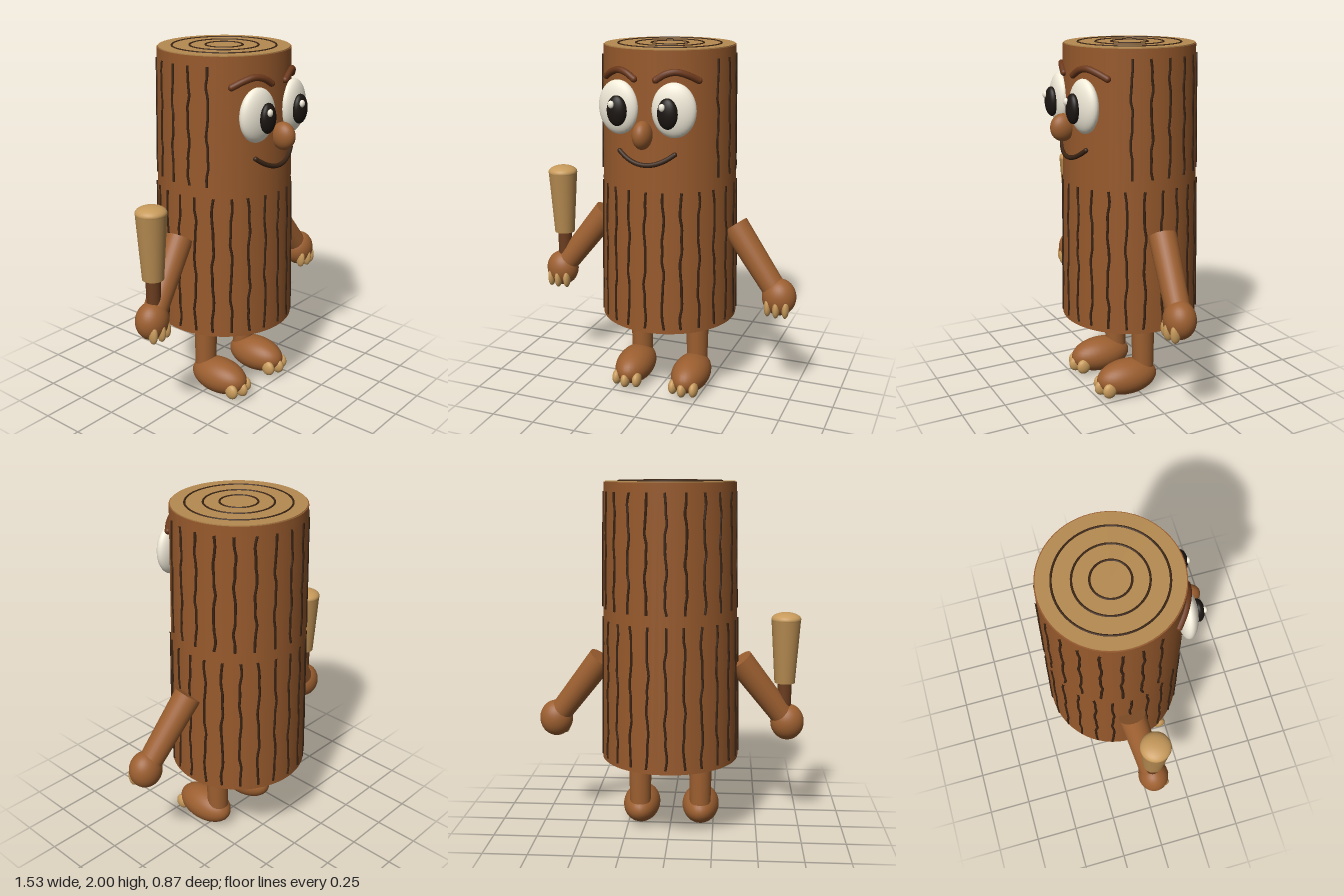
import * as THREE from 'three';

const mat = (color) => new THREE.MeshStandardMaterial({ color });
const BARK = mat(0x96592c), LIMB = mat(0x9c5f30), GROOVE = mat(0x3a2414), DARK = mat(0x6b3d1f);
const WOOD = mat(0xb58a50), CLAW = mat(0xc79a5b), WHITE = mat(0xf0ead8), BLACK = mat(0x1c1612), BROW = mat(0x6b381b);
const AXIS_Z = -0.04, Y0 = 0.45, Y1 = 1.99, R0 = 0.387, R1 = 0.36;

const trunkRadius = (y) => R0 + (R1 - R0) * (y - Y0) / (Y1 - Y0);
// point on the bark, angle measured from the front
const onTrunk = (angle, y, lift = 0) => {
  const r = trunkRadius(y) + lift;
  return new THREE.Vector3(Math.sin(angle) * r, y, AXIS_Z + Math.cos(angle) * r);
};

function add(parent, name, geometry, material, x = 0, y = 0, z = 0) {
  const mesh = new THREE.Mesh(geometry, material);
  mesh.name = name;
  mesh.position.set(x, y, z);
  parent.add(mesh);
  return mesh;
}

function ellipsoid(parent, name, material, x, y, z, rx, ry, rz) {
  const mesh = add(parent, name, new THREE.SphereGeometry(1, 32, 20), material, x, y, z);
  mesh.scale.set(rx, ry, rz);
  return mesh;
}

// tapered cylinder between two points
function limb(parent, name, material, a, b, ra, rb) {
  const dir = b.clone().sub(a);
  const mesh = add(parent, name, new THREE.CylinderGeometry(rb, ra, dir.length(), 28), material);
  mesh.position.copy(a).add(b).multiplyScalar(0.5);
  mesh.quaternion.setFromUnitVectors(new THREE.Vector3(0, 1, 0), dir.normalize());
  return mesh;
}

// bent rod with rounded ends
function rod(parent, name, material, points, r) {
  const group = new THREE.Group();
  group.name = name;
  const curve = new THREE.CatmullRomCurve3(points);
  add(group, name + 'Rod', new THREE.TubeGeometry(curve, 28, r, 12), material);
  for (const p of [points[0], points[points.length - 1]])
    ellipsoid(group, name + 'End', material, p.x, p.y, p.z, r, r, r);
  parent.add(group);
}

function makeTrunk() {
  const trunk = new THREE.Group();
  trunk.name = 'trunk';
  add(trunk, 'bark', new THREE.CylinderGeometry(R1, R0, Y1 - Y0, 64), BARK, 0, (Y0 + Y1) / 2, AXIS_Z);
  add(trunk, 'cutTop', new THREE.CylinderGeometry(0.354, 0.354, 0.02, 64), WOOD, 0, 1.985, AXIS_Z);
  // growth rings
  for (const r of [0.1, 0.185, 0.28])
    add(trunk, 'growthRing', new THREE.TorusGeometry(r, 0.006, 8, 64), GROOVE, 0, 1.994, AXIS_Z).rotation.x = Math.PI / 2;

  // wavering bark grooves
  const groove = (angle, low, high, seed) => {
    const points = [];
    for (let i = 0; i <= 12; i++) {
      const wobble = 0.013 * Math.sin(i * 1.25 + seed * 2.1) + 0.008 * Math.sin(i * 2.7 + seed);
      points.push(onTrunk(angle + wobble, low + (high - low) * i / 12));
    }
    add(trunk, 'groove', new THREE.TubeGeometry(new THREE.CatmullRomCurve3(points), 30, 0.0075, 6), GROOVE);
  };
  for (let i = 0; i < 24; i++) groove(i * Math.PI / 12, 0.475, 1.25, i);
  // the upper row leaves the face clear
  for (let i = -7; i <= 7; i++) groove(Math.PI + i * 0.289, 1.31, 1.94, i + 40);
  return trunk;
}

function makeFace() {
  const face = new THREE.Group();
  face.name = 'face';
  for (const s of [-1, 1]) {
    ellipsoid(face, 'eye', WHITE, s * 0.155, 1.69, 0.308, 0.118, 0.143, 0.052).rotation.y = s * 0.15;
    ellipsoid(face, 'pupil', BLACK, s * 0.14, 1.68, 0.365, 0.055, 0.08, 0.033);
    ellipsoid(face, 'glint', WHITE, s * 0.14 - 0.02, 1.715, 0.393, 0.017, 0.02, 0.013);
    const brow = [[0.06, 1.842], [0.11, 1.872], [0.16, 1.882], [0.21, 1.867], [0.26, 1.837]]
      .map(([x, y]) => onTrunk(s * Math.asin(x / 0.37), y, 0.006));
    rod(face, 'eyebrow', BROW, brow, 0.018);
  }
  ellipsoid(face, 'nose', LIMB, 0, 1.56, 0.362, 0.051, 0.075, 0.07);
  const smile = [];
  for (let i = -4; i <= 4; i++) {
    const x = i * 0.0385;
    smile.push(onTrunk(Math.asin(x / 0.37), 1.395 + 2.6 * x * x, 0.004));
  }
  rod(face, 'mouth', GROOVE, smile, 0.013);
  return face;
}

function makeArm(s) {
  const arm = new THREE.Group();
  arm.name = s > 0 ? 'leftArm' : 'rightArm';
  limb(arm, 'armLimb', LIMB, new THREE.Vector3(s * 0.39, 1.005, -0.035), new THREE.Vector3(s * 0.66, 0.65, 0.015), 0.077, 0.066);
  ellipsoid(arm, 'hand', LIMB, s * 0.67, 0.635, 0.018, 0.096, 0.105, 0.087);
  for (const i of [-1, 0, 1])
    ellipsoid(arm, 'handClaw', CLAW, s * 0.67 + i * 0.05, 0.587, i ? 0.07 : 0.082, 0.02, 0.055, 0.03);
  return arm;
}

function makeLeg(s) {
  const leg = new THREE.Group();
  leg.name = s > 0 ? 'leftLeg' : 'rightLeg';
  const x = s * 0.175;
  limb(leg, 'legLimb', LIMB, new THREE.Vector3(x, 0.12, -0.04), new THREE.Vector3(x, 0.425, -0.037), 0.06, 0.067);
  ellipsoid(leg, 'foot', LIMB, x, 0.107, 0.065, 0.108, 0.102, 0.185);
  for (const i of [-1, 0, 1])
    ellipsoid(leg, 'footClaw', CLAW, x + i * 0.062, 0.072, i ? 0.205 : 0.228, 0.026, 0.045, 0.042);
  return leg;
}

function makeClub() {
  const club = new THREE.Group();
  club.name = 'club';
  add(club, 'clubHandle', new THREE.CylinderGeometry(0.041, 0.037, 0.3, 24), DARK, 0, 0.73, 0);
  add(club, 'clubHead', new THREE.CylinderGeometry(0.083, 0.058, 0.365, 32), WOOD, 0, 1.05, 0);
  ellipsoid(club, 'clubTip', CLAW, 0, 1.232, 0, 0.084, 0.039, 0.084);
  club.position.set(-0.65, 0, 0.015);
  return club;
}

export function createModel() {
  const model = new THREE.Group();
  model.name = 'logCharacter';
  model.add(makeTrunk(), makeFace(), makeClub());
  for (const s of [-1, 1]) model.add(makeArm(s), makeLeg(s));
  return model;
}
